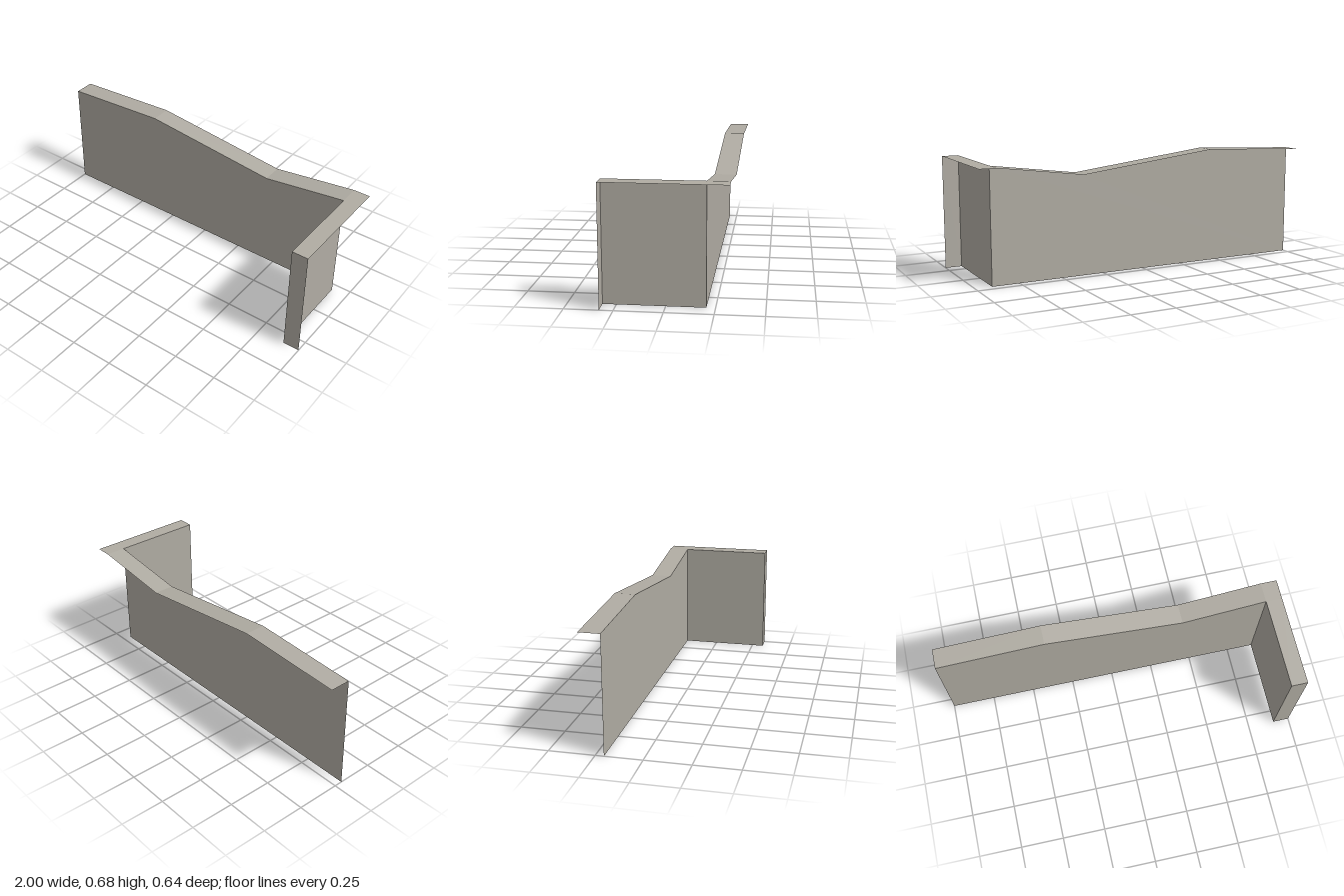
import * as THREE from 'three';

const BACK = -0.321, WALL = -0.204, FRONT = 0.321, INNER = 0.906, HEIGHT = 0.645;

// Top edge of the long wall, left to right in the front view
const crest = [[-1, HEIGHT], [-0.38, 0.675], [0.42, 0.58], [INNER, HEIGHT], [1, HEIGHT]];

export function createModel() {
  const model = new THREE.Group();
  const stone = new THREE.MeshStandardMaterial({ color: 0xb0aca3, side: THREE.DoubleSide });
  stone.name = 'warm grey stone';

  const add = (name, geometry, x = 0, y = 0, z = 0) => {
    const mesh = new THREE.Mesh(geometry, stone);
    mesh.name = name;
    mesh.position.set(x, y, z);
    model.add(mesh);
    return mesh;
  };

  // Long wall: an open sheet under the uneven crest
  const outline = new THREE.Shape();
  outline.moveTo(-1, 0);
  outline.lineTo(INNER, 0);
  crest.slice(0, 4).reverse().forEach(([x, y]) => outline.lineTo(x, y));
  add('longWall', new THREE.ShapeGeometry(outline), 0, 0, WALL);

  // Coping: a flat strip bent along the crest, with hard folds
  const strip = new THREE.PlaneGeometry(1, WALL - BACK, crest.length - 1, 1);
  strip.rotateX(-Math.PI / 2);
  const pos = strip.attributes.position;
  for (let i = 0; i < pos.count; i++) {
    const [x, y] = crest[i % crest.length];
    pos.setX(i, x);
    pos.setY(i, y);
  }
  const coping = strip.toNonIndexed();
  coping.computeVertexNormals();
  add('wallCoping', coping, 0, 0, (BACK + WALL) / 2);

  // Short return wall: inner face, end cap and coping
  const depth = FRONT - WALL, width = 1 - INNER;
  const midX = (1 + INNER) / 2, midZ = (FRONT + WALL) / 2;
  add('returnWall', new THREE.PlaneGeometry(depth, HEIGHT).rotateY(-Math.PI / 2), INNER, HEIGHT / 2, midZ);
  add('returnEndCap', new THREE.PlaneGeometry(width, HEIGHT), midX, HEIGHT / 2, FRONT);
  add('returnCoping', new THREE.PlaneGeometry(width, depth).rotateX(-Math.PI / 2), midX, HEIGHT, midZ);

  return model;
}
